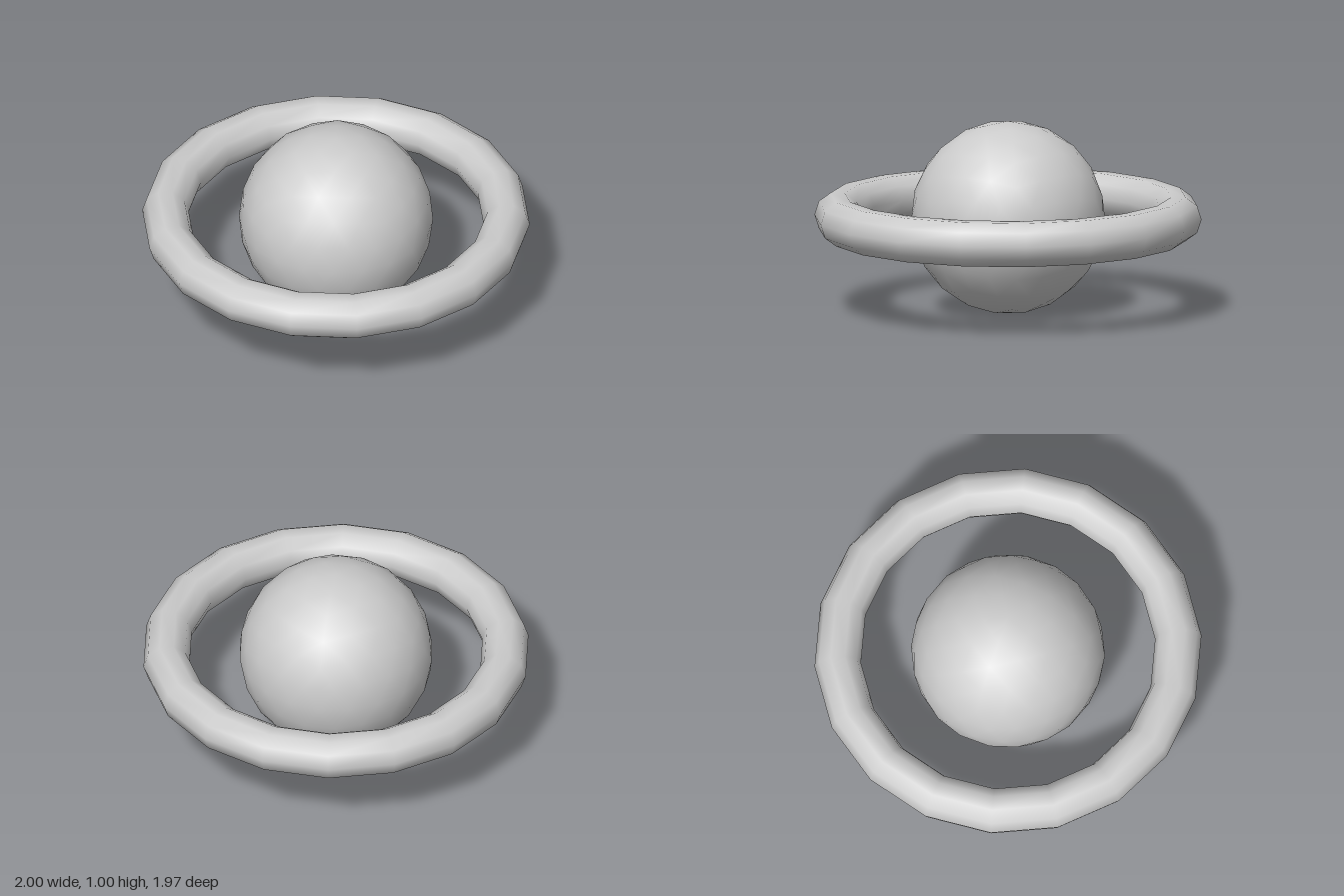
import * as THREE from 'three';

// Icosphere with a vertex at each pole: every pass splits each triangle in four
function icosphere(radius, passes) {
  const ringPoint = (k, offset, y) => {
    const a = (k * 72 + offset) * Math.PI / 180, r = Math.sqrt(1 - y * y);
    return new THREE.Vector3(r * Math.cos(a), y, -r * Math.sin(a));
  };
  const h = 1 / Math.sqrt(5);
  const top = new THREE.Vector3(0, 1, 0), bottom = new THREE.Vector3(0, -1, 0);
  let faces = [];
  for (let k = 0; k < 5; k++) {
    const u0 = ringPoint(k, 0, h), u1 = ringPoint(k + 1, 0, h);
    const l0 = ringPoint(k, 36, -h), l1 = ringPoint(k + 1, 36, -h);
    faces.push([top, u0, u1], [u0, l0, u1], [l0, l1, u1], [bottom, l1, l0]);
  }
  const mid = (a, b) => a.clone().add(b).normalize();
  for (let i = 0; i < passes; i++) {
    faces = faces.flatMap(([a, b, c]) => {
      const ab = mid(a, b), bc = mid(b, c), ca = mid(c, a);
      return [[a, ab, ca], [ab, b, bc], [ca, bc, c], [ab, bc, ca]];
    });
  }
  const points = faces.flat();
  const geometry = new THREE.BufferGeometry().setFromPoints(points);
  // Smooth normals point straight out from the centre
  geometry.setAttribute('normal', geometry.attributes.position.clone());
  geometry.scale(radius, radius, radius);
  return geometry;
}

export function createModel() {
  const group = new THREE.Group();
  group.name = 'ringedPlanet';
  const material = new THREE.MeshStandardMaterial({ color: 0xcccccc });

  // Central globe
  const planet = new THREE.Mesh(icosphere(0.5, 2), material);
  planet.name = 'planet';
  planet.position.y = 0.5;

  // Level ring around the equator
  const ring = new THREE.Mesh(new THREE.TorusGeometry(0.88, 0.12, 10, 18).rotateX(Math.PI / 2), material);
  ring.name = 'ring';
  ring.position.y = 0.5;

  group.add(planet, ring);
  return group;
}
